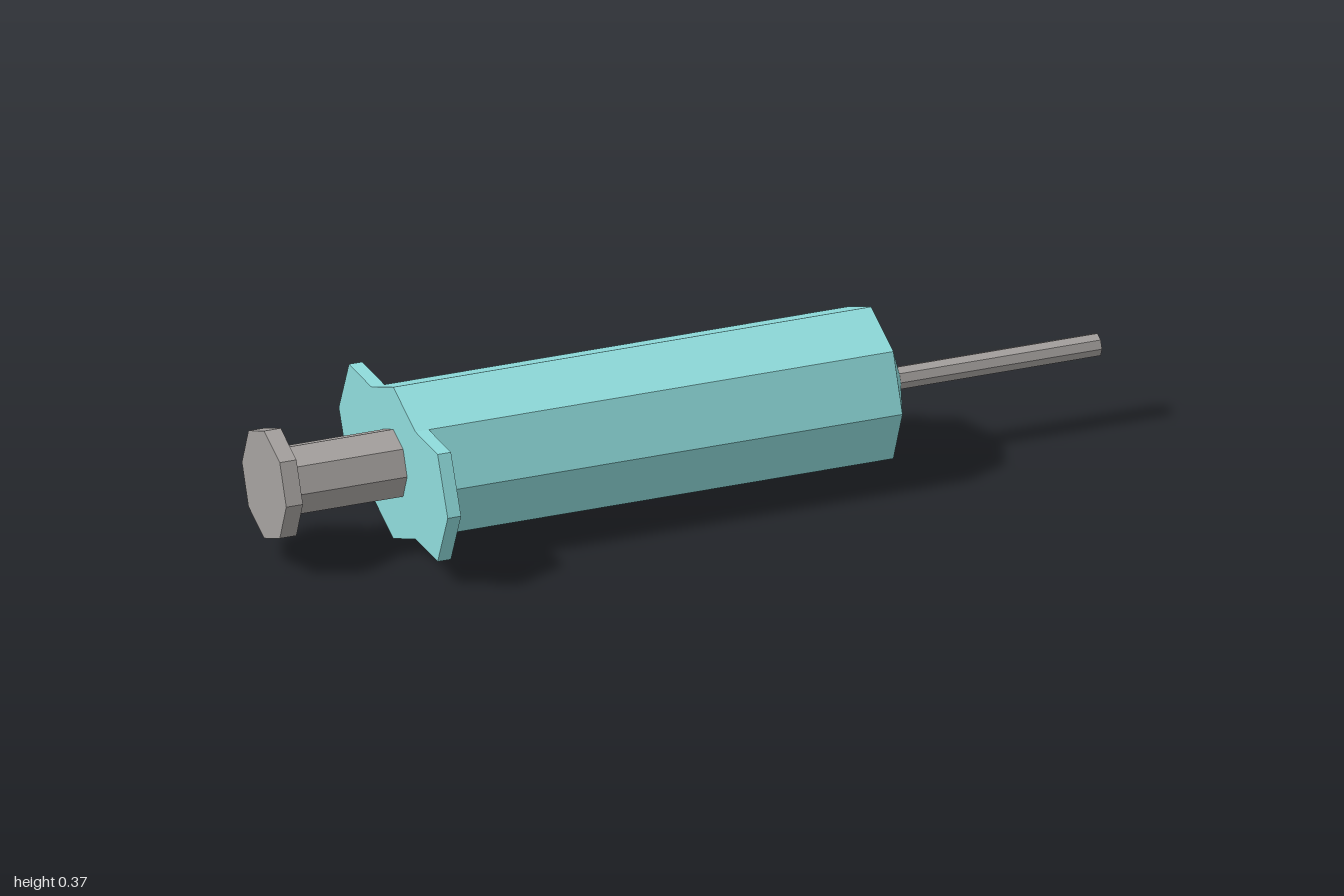
import * as THREE from 'three';

const AXIS_Y = 0.185;
const R = 0.185;

export function createModel() {
  const model = new THREE.Group();
  const teal = new THREE.MeshStandardMaterial({ color: 0x8fdcdc, flatShading: true });
  const grey = new THREE.MeshStandardMaterial({ color: 0xa6a2a0, flatShading: true });

  function add(name, geometry, material) {
    const mesh = new THREE.Mesh(geometry, material);
    mesh.name = name;
    mesh.position.y = AXIS_Y;
    model.add(mesh);
  }

  // Eight-sided section lying along x, from x0 (radius r0) to x1 (radius r1)
  function section(name, x0, x1, r0, r1, material, open = false) {
    const g = new THREE.CylinderGeometry(r1, r0, x1 - x0, 8, 1, open);
    g.rotateZ(-Math.PI / 2);
    g.translate((x0 + x1) / 2, 0, 0);
    add(name, g, material);
  }

  // Barrel and its tapered nose
  section('barrel', -0.69, 0.457, R, R, teal);
  section('nose', 0.457, 0.517, R, 0.027, teal, true);

  // Needle
  section('needle', 0.512, 1, 0.027, 0.027, grey);

  // Plunger
  section('plungerRod', -0.965, -0.685, 0.082, 0.082, grey);
  section('plungerHead', -1, -0.96, 0.131, 0.131, grey);

  // Finger grips, one each side, fitted to the barrel outline
  const c = R * Math.SQRT1_2;
  const wing = new THREE.Shape([
    [c, -c], [0.262, -c], [0.322, 0], [0.262, c], [c, c], [R, 0],
  ].map(([u, v]) => new THREE.Vector2(u, v)));
  for (const [name, turn] of [['backFingerGrip', 0], ['frontFingerGrip', Math.PI]]) {
    const g = new THREE.ExtrudeGeometry(wing, { depth: 0.032, bevelEnabled: false });
    g.translate(0, 0, -0.016);
    g.rotateY(Math.PI / 2 + turn);
    g.translate(-0.674, 0, 0);
    add(name, g, teal);
  }

  return model;
}
